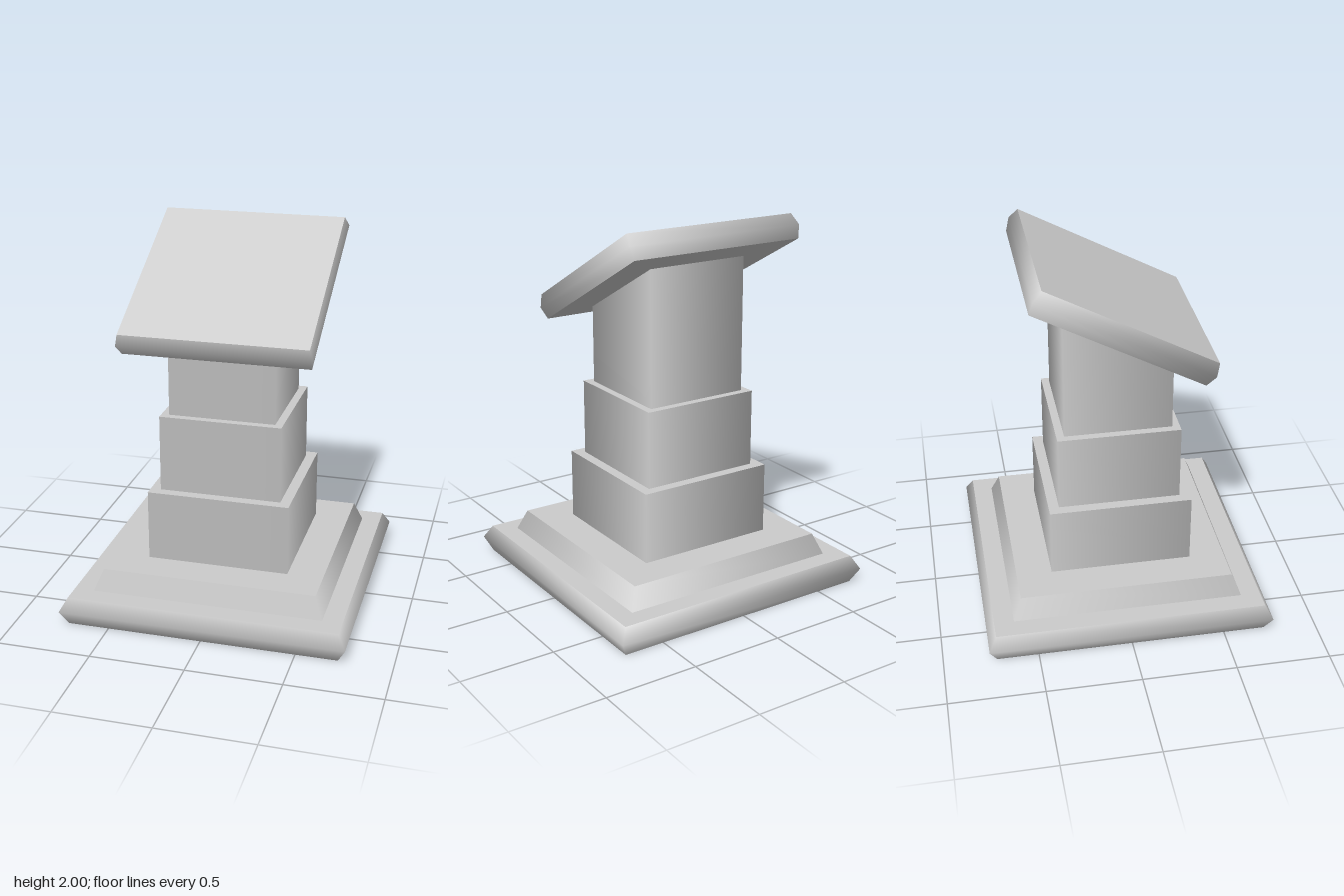
import * as THREE from 'three';

export function createModel() {
  const stone = new THREE.MeshStandardMaterial({ color: 0xcccccc, side: THREE.DoubleSide });
  stone.name = 'grey stone';

  // Square ring surface swept from [half width, height] points, smooth round the corners
  const squareBand = (name, points) => {
    const profile = points.map(([r, y]) => new THREE.Vector2(r * Math.SQRT2, y));
    const mesh = new THREE.Mesh(new THREE.LatheGeometry(profile, 4, Math.PI / 4), stone);
    mesh.name = name;
    return mesh;
  };

  const pedestal = new THREE.Group();
  pedestal.name = 'pedestal';

  // Hollow stepped base and column, open underneath; separate bands keep the edges sharp
  pedestal.add(
    squareBand('plinth', [[0.72, 0], [0.76, 0.08], [0.72, 0.152]]),
    squareBand('plinthLedge', [[0.72, 0.152], [0.615, 0.152]]),
    squareBand('baseSlope', [[0.615, 0.152], [0.57, 0.265]]),
    squareBand('baseLedge', [[0.57, 0.265], [0.38, 0.265]]),
    squareBand('lowerColumn', [[0.38, 0.265], [0.38, 0.647]]),
    squareBand('lowerLedge', [[0.38, 0.647], [0.325, 0.647]]),
    squareBand('middleColumn', [[0.325, 0.647], [0.325, 1.06]]),
    squareBand('middleLedge', [[0.325, 1.06], [0.284, 1.06]])
  );

  // Tilted top slab with a bulging edge
  const tilt = Math.atan2(0.465, 0.865);
  const half = 0.068;
  const slab = new THREE.Group();
  slab.name = 'tiltedSlab';
  slab.add(
    squareBand('slabUnderside', [[0, -half], [0.492, -half]]),
    squareBand('slabEdge', [[0.492, -half], [0.509, 0], [0.492, half]]),
    squareBand('slabTop', [[0.492, half], [0, half]])
  );
  slab.position.y = 1.7075;
  slab.rotation.x = tilt;
  pedestal.add(slab);

  // Upper column, its top sheared to meet the underside of the slab
  const upper = squareBand('upperColumn', [[0.284, 1.06], [0.284, 1.63]]);
  const pos = upper.geometry.attributes.position;
  const underside = 1.7075 - half / Math.cos(tilt);
  for (let i = 0; i < pos.count; i++) {
    if (pos.getY(i) > 1.5) pos.setY(i, underside - pos.getZ(i) * Math.tan(tilt));
  }
  pedestal.add(upper);

  return pedestal;
}
